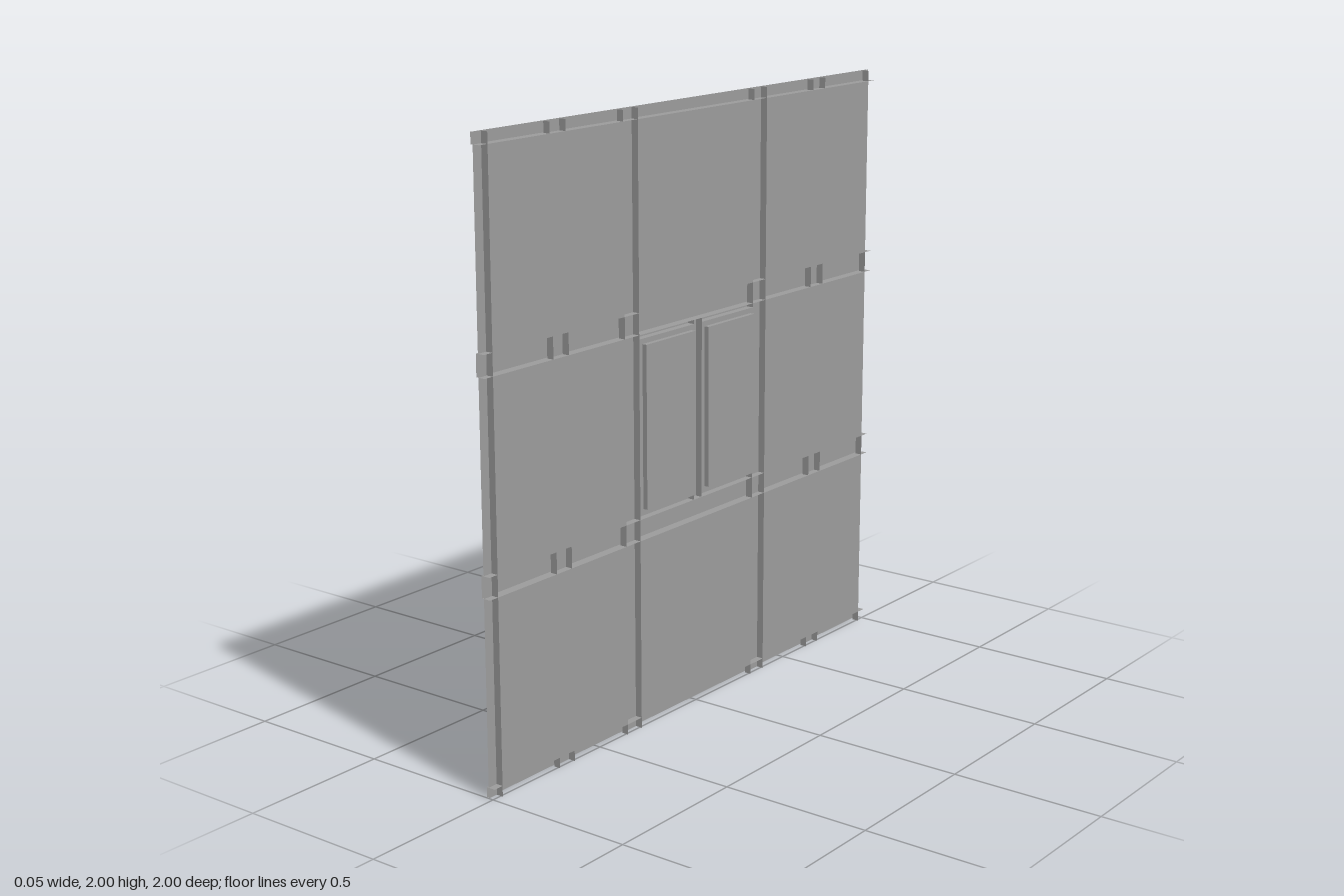
import * as THREE from 'three';

const RAIL = -0.024, STUD = -0.016, SKIN = 0.008, PANE = 0.024; // depth layers along x
const HALF = 0.035; // half width of rails and studs
const MULLION = 0.02; // half width of the post between the windows

export function createModel() {
  const model = new THREE.Group();
  const mat = new THREE.MeshStandardMaterial({ color: 0x9c9c9c, side: THREE.DoubleSide });

  const add = (parent, name, geo) => {
    const mesh = new THREE.Mesh(geo, mat);
    mesh.name = name;
    parent.add(mesh);
  };
  const group = (name) => {
    const g = new THREE.Group();
    g.name = name;
    model.add(g);
    return g;
  };

  // sheet facing x
  const sheetX = (parent, name, x, z0, z1, y0, y1) =>
    add(parent, name, new THREE.PlaneGeometry(z1 - z0, y1 - y0).rotateY(Math.PI / 2)
      .translate(x, (y0 + y1) / 2, (z0 + z1) / 2));
  // sheet facing y
  const sheetY = (parent, name, y, x0, x1, z0, z1) =>
    add(parent, name, new THREE.PlaneGeometry(x1 - x0, z1 - z0).rotateX(-Math.PI / 2)
      .translate((x0 + x1) / 2, y, (z0 + z1) / 2));
  // sheet facing z
  const sheetZ = (parent, name, z, x0, x1, y0, y1) =>
    add(parent, name, new THREE.PlaneGeometry(x1 - x0, y1 - y0)
      .translate((x0 + x1) / 2, (y0 + y1) / 2, z));

  // horizontal channels, open to +x; the outer ones are half channels
  for (const y of [0, 2 / 3, 4 / 3, 2]) {
    const rail = group('rail');
    const lo = Math.max(0, y - HALF), hi = Math.min(2, y + HALF);
    sheetX(rail, 'railWeb', RAIL, -1, 1, lo, hi);
    if (y > 0) sheetY(rail, 'railLowerFlange', lo, RAIL, SKIN, -1, 1);
    if (y < 2) sheetY(rail, 'railUpperFlange', hi, RAIL, SKIN, -1, 1);
  }

  // vertical channels, open to +x
  const addStud = (z, y0, y1, half = HALF) => {
    const stud = group('stud');
    const lo = Math.max(-1, z - half), hi = Math.min(1, z + half);
    sheetX(stud, 'studWeb', STUD, lo, hi, y0, y1);
    if (z > -1) sheetZ(stud, 'studBackFlange', lo, STUD, SKIN, y0, y1);
    if (z < 1) sheetZ(stud, 'studFrontFlange', hi, STUD, SKIN, y0, y1);
  };
  for (const z of [-1, -2 / 3, -1 / 3, 1 / 3, 2 / 3, 1]) addStud(z, 0, 2);

  // panels between the channels, and short middle studs in the centre column
  const panels = group('panels');
  for (let row = 0; row < 3; row++) {
    const y0 = row * 2 / 3 + HALF, y1 = (row + 1) * 2 / 3 - HALF;
    addStud(0, y0, y1, row === 1 ? MULLION : HALF);
    for (let col = -1; col <= 1; col++) {
      if (row === 1 && col === 0) continue;
      const z = col * 2 / 3;
      sheetX(panels, 'panel', SKIN, z - 1 / 3 + HALF, z + 1 / 3 - HALF, y0, y1);
    }
  }

  // two windows: a flat surround with a raised pane, open behind
  for (const side of [-1, 1]) {
    const win = group('window');
    const [z0, z1] = [side * MULLION, side * (1 / 3 - HALF)].sort((a, b) => a - b);
    const [p0, p1] = [side * 0.035, side * 0.283].sort((a, b) => a - b);
    const y0 = 0.717, y1 = 1.285, q0 = 0.735, q1 = 1.268;
    sheetX(win, 'surroundBottom', SKIN, z0, z1, y0, q0);
    sheetX(win, 'surroundTop', SKIN, z0, z1, q1, y1);
    sheetX(win, 'surroundSide', SKIN, z0, p0, q0, q1);
    sheetX(win, 'surroundSide', SKIN, p1, z1, q0, q1);
    for (const y of [q0, q1]) sheetY(win, 'paneEdge', y, SKIN, PANE, p0, p1);
    for (const z of [p0, p1]) sheetZ(win, 'paneEdge', z, SKIN, PANE, q0, q1);
    sheetX(win, 'pane', PANE, p0, p1, q0, q1);
    // sill and head strips closing the slots next to the rails
    sheetX(win, 'sillWeb', STUD, z0, z1, 2 / 3 + HALF, y0);
    sheetX(win, 'headWeb', STUD, z0, z1, y1, 4 / 3 - HALF);
    for (const y of [y0, y1]) sheetY(win, 'windowReturn', y, STUD, SKIN, z0, z1);
  }
  return model;
}
